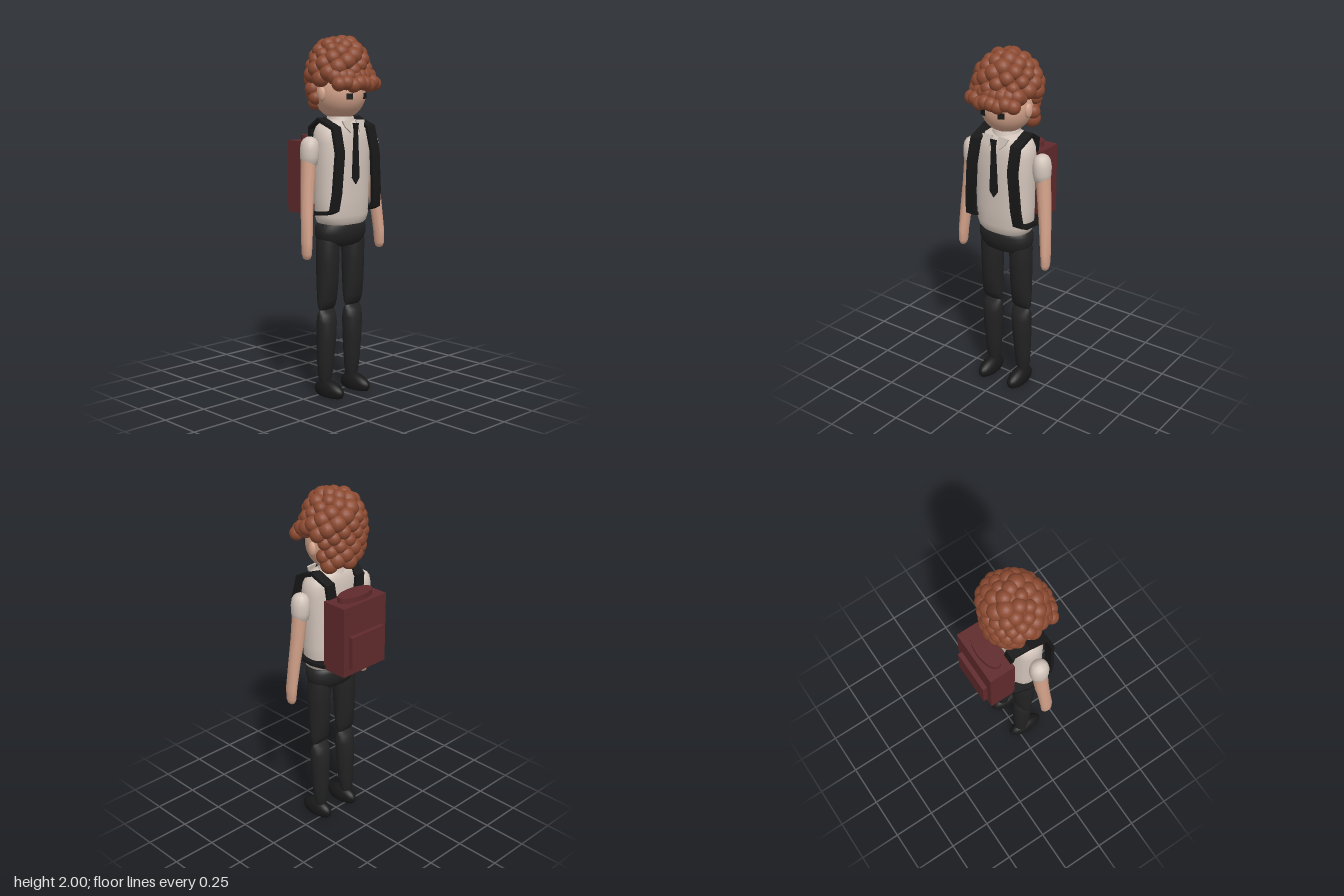
import * as THREE from 'three';
import { mergeGeometries, toCreasedNormals } from 'three/addons/utils/BufferGeometryUtils.js';

const material = (name, color) => {
  const m = new THREE.MeshStandardMaterial({ color });
  m.name = name;
  return m;
};

// Skin a list of equal-length point rings and close both ends
function skin(rings, crease = 0.9) {
  const n = rings[0].length, last = rings.length - 1;
  const pos = rings.flat(2), index = [];
  const centre = (ring) => [0, 1, 2].map((k) => ring.reduce((s, p) => s + p[k], 0) / n);
  pos.push(...centre(rings[0]), ...centre(rings[last]));
  const c0 = n * (last + 1), c1 = c0 + 1;
  for (let j = 0; j < n; j++) {
    const k = (j + 1) % n;
    for (let i = 0; i < last; i++) {
      const a = i * n + j, b = i * n + k;
      index.push(a, a + n, b, b, a + n, b + n);
    }
    index.push(c0, j, k, c1, last * n + k, last * n + j);
  }
  const g = new THREE.BufferGeometry();
  g.setAttribute('position', new THREE.Float32BufferAttribute(pos, 3));
  g.setIndex(index);
  return toCreasedNormals(g, crease);
}

// Horizontal sections [y, x, z, radiusX, radiusZ], bottom to top, smoothed along the height
function limb(sections, power = 2, sides = 28) {
  const rings = sections.map(([y, cx, cz, rx, rz]) =>
    Array.from({ length: sides }, (_, j) => {
      const a = (j / sides) * Math.PI * 2, c = Math.cos(a), s = Math.sin(a);
      const f = (v) => Math.sign(v) * Math.abs(v) ** (2 / power);
      return [cx + rx * f(c), y, cz + rz * f(s)];
    }));
  return skin(rings);
}

// Flat strap swept along points [x, y, z]
function strap(points, width, thick) {
  const rings = points.map((p, i) => {
    const a = points[Math.max(i - 1, 0)], b = points[Math.min(i + 1, points.length - 1)];
    const dy = b[1] - a[1], dz = b[2] - a[2], l = Math.hypot(dy, dz);
    return [[1, 1], [-1, 1], [-1, -1], [1, -1]].map(([u, v]) => [
      p[0] + u * width / 2, p[1] - v * thick / 2 * dz / l, p[2] + v * thick / 2 * dy / l]);
  });
  return skin(rings, 0.6);
}

function ball(x, y, z, rx, ry = rx, rz = rx, w = 16, h = 12) {
  return new THREE.SphereGeometry(1, w, h).scale(rx, ry, rz).translate(x, y, z);
}

function plate(points, depth) {
  const shape = new THREE.Shape(points.map(([x, y]) => new THREE.Vector2(x, y)));
  return new THREE.ExtrudeGeometry(shape, { depth, bevelEnabled: false });
}

export function createModel() {
  const root = new THREE.Group();
  const hairMat = material('auburn hair', 0x8c4a31);
  const skinMat = material('skin', 0xd3a28a);
  const shirtMat = material('shirt cloth', 0xd2c4ba);
  const trouserMat = material('trouser cloth', 0x222222);
  const blackMat = material('black fabric', 0x181818);
  const packMat = material('maroon canvas', 0x602a2c);
  const add = (name, geometry, mat) => {
    const m = new THREE.Mesh(geometry, mat);
    m.name = name;
    root.add(m);
    return m;
  };

  // Head and neck
  add('head', ball(0, 1.685, 0.03, 0.14, 0.145, 0.148, 36, 24), skinMat);
  add('neck', new THREE.CylinderGeometry(0.058, 0.062, 0.1, 24).translate(0, 1.54, 0.03), skinMat);

  // Curly hair: rounded curls spiralling down a domed shell, open at the face
  const curls = [
    ball(0, 1.82, 0.02, 0.15, 0.15, 0.14, 28, 18),
    ball(0, 1.7, -0.035, 0.13, 0.115, 0.105, 28, 18),
  ];
  const count = 96;
  for (let i = 0; i < count; i++) {
    const y = 1.953 - (i / (count - 1)) * 0.35;
    const t = (y - 1.79) / 0.165;
    const low = Math.max(0, -t);
    const r = t > 0 ? Math.sqrt(Math.max(0, 1 - t * t)) : 1 - 0.19 * low;
    const a = i * 2.39996;
    const x = 0.157 * r * Math.cos(a), z = 0.022 - 0.012 * low + 0.14 * r * Math.sin(a);
    if (y < 1.765 && z > -0.02) continue;
    const size = 0.043 + 0.006 * Math.sin(i * 4.7);
    curls.push(ball(x, y, z, size));
  }
  // Fringe curls over the forehead
  for (let i = 0; i < 8; i++) {
    const x = -0.133 + i * 0.038;
    const z = 0.2 - 2.2 * x * x;
    curls.push(ball(x, 1.737 + 0.008 * Math.sin(i * 2.3), z, 0.04));
    curls.push(ball(x * 0.95, 1.775, z - 0.04, 0.045));
  }
  add('curlyHair', mergeGeometries(curls), hairMat);

  // Torso, collar band and tie
  add('shirtBody', limb([
    [0.965, 0, 0.045, 0.13, 0.085], [0.985, 0, 0.045, 0.155, 0.098], [1.02, 0, 0.045, 0.168, 0.104],
    [1.12, 0, 0.045, 0.172, 0.106], [1.3, 0, 0.045, 0.175, 0.106], [1.42, 0, 0.045, 0.18, 0.104],
    [1.47, 0, 0.042, 0.176, 0.1], [1.505, 0, 0.04, 0.158, 0.092], [1.53, 0, 0.036, 0.12, 0.08],
    [1.545, 0, 0.032, 0.07, 0.065]], 2.4, 40), shirtMat);
  add('collarBand', new THREE.CylinderGeometry(0.072, 0.082, 0.035, 28).translate(0, 1.54, 0.035), shirtMat);
  add('tie', plate([[-0.02, 1.525], [-0.013, 1.485], [-0.026, 1.23], [0, 1.195],
    [0.026, 1.23], [0.013, 1.485], [0.02, 1.525]], 0.009).translate(0, 0, 0.15), blackMat);

  // Hips
  add('hips', limb([
    [0.845, 0, 0.037, 0.115, 0.05], [0.86, 0, 0.037, 0.14, 0.078], [0.89, 0, 0.037, 0.157, 0.094],
    [0.92, 0, 0.037, 0.165, 0.102], [0.955, 0, 0.037, 0.164, 0.102], [0.975, 0, 0.037, 0.152, 0.095],
    [0.985, 0, 0.037, 0.13, 0.085]], 2.2, 36), trouserMat);

  for (const s of [1, -1]) {
    const side = s > 0 ? 'left' : 'right';
    const mirror = (rows) => rows.map(([y, x, ...rest]) => [y, s * x, ...rest]);

    // Face details
    add(side + 'Ear', ball(s * 0.14, 1.68, 0.035, 0.018, 0.04, 0.026), skinMat);
    const eye = add(side + 'Eye', new THREE.BoxGeometry(0.034, 0.032, 0.009), blackMat);
    eye.position.set(s * 0.058, 1.67, 0.165);
    eye.rotation.y = s * 0.42;

    // Collar point
    const flap = [[0.018, 0.035], [0.085, 0.03], [0.068, -0.005], [0.034, -0.035]];
    const collar = add(side + 'CollarPoint', plate(flap.map(([x, y]) => [s * x, y]), 0.008), shirtMat);
    collar.position.set(0, 1.507, 0.138);
    collar.rotation.x = -0.25;

    // Arm and short sleeve
    add(side + 'Sleeve', limb(mirror([
      [1.3, 0.232, 0.035, 0.032, 0.034], [1.312, 0.232, 0.035, 0.043, 0.046], [1.35, 0.231, 0.035, 0.049, 0.053],
      [1.39, 0.23, 0.035, 0.05, 0.054], [1.425, 0.229, 0.035, 0.045, 0.049], [1.445, 0.229, 0.035, 0.033, 0.036],
      [1.457, 0.229, 0.035, 0.012, 0.014]])), shirtMat);
    add(side + 'Arm', limb(mirror([
      [0.8, 0.281, 0.066, 0.009, 0.012], [0.808, 0.281, 0.066, 0.017, 0.024], [0.83, 0.281, 0.066, 0.022, 0.033],
      [0.9, 0.279, 0.064, 0.026, 0.036], [1.05, 0.266, 0.052, 0.032, 0.036], [1.2, 0.25, 0.04, 0.037, 0.04],
      [1.33, 0.238, 0.035, 0.04, 0.044]])), skinMat);

    // Trouser leg, flattened at the knee
    add(side + 'UpperLeg', limb(mirror([
      [0.492, 0.1, 0.03, 0.052, 0.012], [0.51, 0.1, 0.031, 0.06, 0.03], [0.55, 0.1, 0.033, 0.062, 0.046],
      [0.64, 0.099, 0.035, 0.063, 0.058], [0.76, 0.098, 0.036, 0.064, 0.065], [0.87, 0.097, 0.036, 0.066, 0.066],
      [0.93, 0.095, 0.036, 0.055, 0.055]])), trouserMat);
    add(side + 'LowerLeg', limb(mirror([
      [0.075, 0.104, 0.02, 0.03, 0.028], [0.11, 0.104, 0.021, 0.041, 0.039], [0.2, 0.103, 0.024, 0.048, 0.047],
      [0.32, 0.101, 0.028, 0.056, 0.053], [0.42, 0.1, 0.03, 0.061, 0.052], [0.465, 0.1, 0.03, 0.062, 0.038],
      [0.492, 0.1, 0.03, 0.055, 0.012]])), trouserMat);

    // Shoe: flat sole, toe sloping down
    const shoe = ball(0, 0, 0, 0.047, 0.06, 0.108, 24, 18);
    const p = shoe.attributes.position;
    for (let i = 0; i < p.count; i++) {
      const slope = 1 - 1.6 * Math.max(0, p.getZ(i));
      p.setY(i, Math.max(p.getY(i), -0.032) * (p.getY(i) > 0 ? slope : 1));
    }
    shoe.computeVertexNormals();
    add(side + 'Shoe', shoe.translate(s * 0.103, 0.032, 0.053), blackMat);

    // Shoulder strap looping from the pack over the shoulder and back under the arm
    add(side + 'Strap', strap([
      [0.1, 1.4, -0.07], [0.112, 1.495, -0.065], [0.13, 1.545, 0.02], [0.13, 1.5, 0.135], [0.133, 1.37, 0.168],
      [0.15, 1.15, 0.163], [0.158, 1.06, 0.15], [0.162, 1.045, 0.11], [0.163, 1.035, 0],
      [0.14, 1.035, -0.08]].map(([x, y, z]) => [s * x, y, z]), 0.06, 0.02), blackMat);
  }

  // Backpack
  add('packBody', new THREE.BoxGeometry(0.316, 0.4, 0.152).translate(0, 1.22, -0.144), packMat);
  add('packPocket', new THREE.BoxGeometry(0.242, 0.19, 0.03).translate(0, 1.155, -0.231), packMat);
  add('packTop', new THREE.CylinderGeometry(1, 1, 0.04, 36).scale(0.118, 1, 0.054)
    .translate(0, 1.43, -0.143), packMat);
  return root;
}
